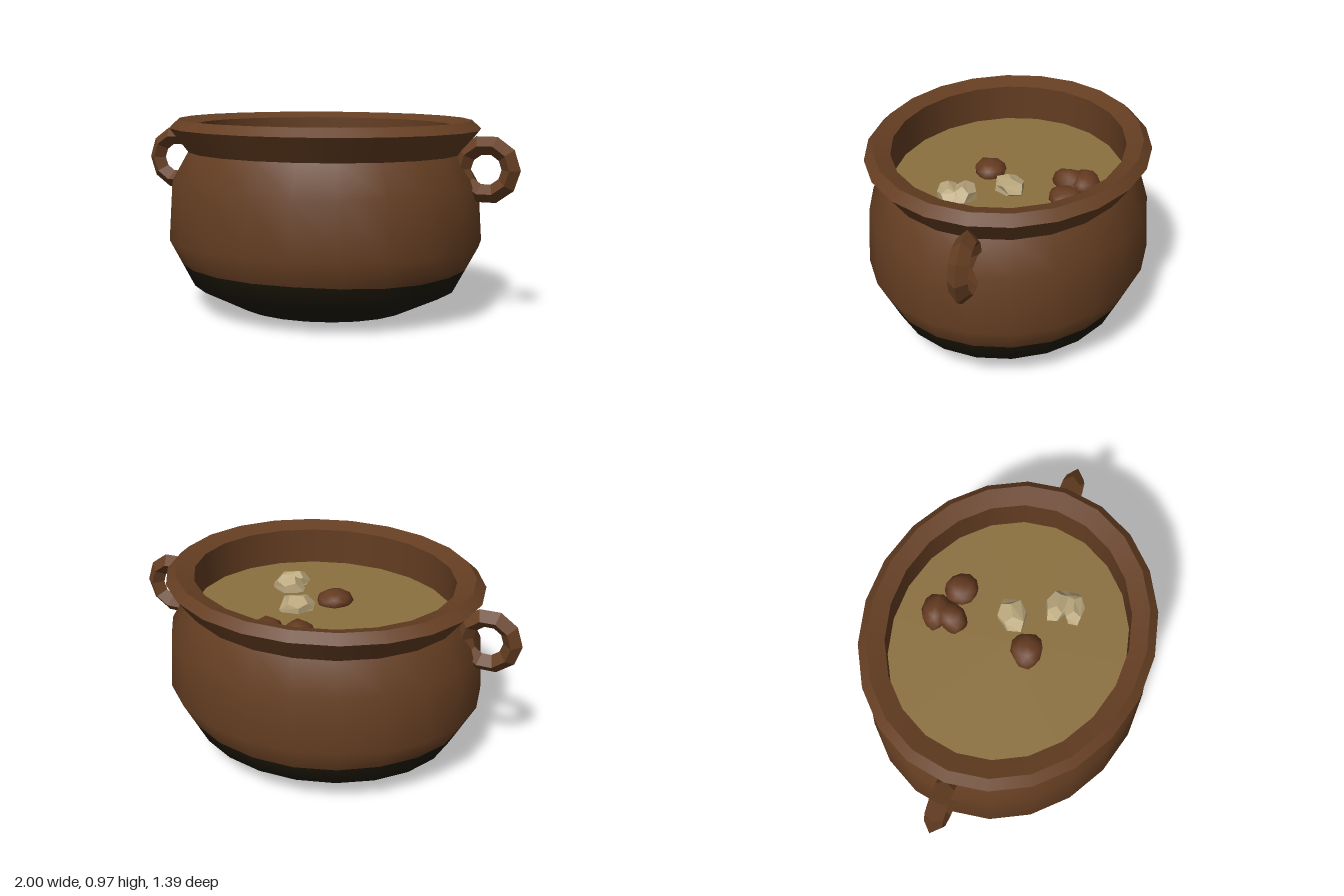
import * as THREE from 'three';
import { mergeVertices } from 'three/addons/utils/BufferGeometryUtils.js';

const SIDES = 22;
const DEPTH = 0.87; // the pot is oval: z radius relative to x radius

const mat = (name, color, extra = {}) => {
  const m = new THREE.MeshStandardMaterial({ color, ...extra });
  m.name = name;
  return m;
};

export function createModel() {
  const clay = mat('brown clay', 0x653e22);
  const clayFlat = mat('brown clay faceted', 0x653e22, { flatShading: true });
  const soot = mat('soot', 0x1f1a0a);
  const broth = mat('broth', 0x8c7140);
  const meat = mat('meat', 0x643a20);
  const potato = mat('potato', 0xb9a67c, { flatShading: true });

  const pot = new THREE.Group();
  pot.name = 'stewPot';
  const add = (name, geometry, material) => {
    const mesh = new THREE.Mesh(geometry, material);
    mesh.name = name;
    pot.add(mesh);
    return mesh;
  };
  const ring = (points) => {
    const profile = points.map(([r, y]) => new THREE.Vector2(r, y));
    return new THREE.LatheGeometry(profile, SIDES, Math.PI / 2).scale(1, 1, DEPTH);
  };

  // Rounded body, blackened below a slightly wavy line
  const bodyProfile = [[0, 0.003], [0.44, 0.022], [0.678, 0.135], [0.737, 0.245],
    [0.805, 0.372], [0.785, 0.66], [0.698, 0.81]];
  const sootRow = 3;
  const body = ring(bodyProfile);
  const pos = body.attributes.position;
  for (let i = 0; i <= SIDES; i++) {
    const k = i * bodyProfile.length + sootRow;
    const a = (i / SIDES) * Math.PI * 2;
    const dy = 0.005 * Math.sin(3 * a + 1) + 0.003 * Math.cos(5 * a);
    const grow = 1 + (dy * 0.53) / 0.737;
    pos.setXYZ(k, pos.getX(k) * grow, pos.getY(k) + dy, pos.getZ(k) * grow);
  }
  const perSide = body.index.count / SIDES;
  for (let i = 0; i < SIDES; i++) {
    body.addGroup(i * perSide, sootRow * 6, 0);
    body.addGroup(i * perSide + sootRow * 6, perSide - sootRow * 6, 1);
  }
  add('body', body, [soot, clay]);

  // Flared rim, one band per crease
  const rim = [[0.698, 0.81], [0.794, 0.93], [0.746, 0.972], [0.652, 0.945], [0.66, 0.73]];
  const bandNames = ['neck', 'rimEdge', 'rimTop', 'innerWall'];
  bandNames.forEach((name, i) => add(name, ring([rim[i], rim[i + 1]]), clay));

  // Broth surface
  add('broth', ring([[0.67, 0.755], [0, 0.755]]), broth);

  // Ring handles with a diamond section
  for (const side of [1, -1]) {
    const handle = add(side > 0 ? 'leftHandle' : 'rightHandle',
      new THREE.TorusGeometry(0.12, 0.046, 4, 10), clayFlat);
    handle.position.set(side * 0.834, 0.748, 0);
    if (side < 0) handle.rotation.y = Math.PI;
  }

  // Lumpy chunks floating in the broth
  const chunk = (name, base, material, [x, z, rx, ry, rz, turn], seed) => {
    base.deleteAttribute('uv');
    base.deleteAttribute('normal');
    const g = mergeVertices(base, 1e-3);
    const p = g.attributes.position;
    const v = new THREE.Vector3();
    for (let i = 0; i < p.count; i++) {
      v.fromBufferAttribute(p, i);
      v.multiplyScalar(1 + 0.09 * Math.sin(v.x * 5 + v.y * 7 + v.z * 4 + seed * 2.3));
      p.setXYZ(i, v.x, v.y, v.z);
    }
    g.scale(rx, ry, rz);
    g.computeVertexNormals();
    const mesh = add(name, g, material);
    mesh.position.set(x, 0.765, z);
    mesh.rotation.y = turn;
  };
  [[0.015, -0.385, 0.095, 0.06, 0.07, 0.2], [0.015, -0.305, 0.09, 0.065, 0.07, 1.0],
    [0.17, -0.315, 0.085, 0.05, 0.08, 2.0], [-0.015, 0.1, 0.09, 0.055, 0.08, 0.4]]
    .forEach((c, i) => chunk('meatChunk', new THREE.IcosahedronGeometry(1, 1), meat, c, i));
  [[0.13, -0.035, 0.092, 0.06, 0.082, 0.5], [0.26, 0.16, 0.092, 0.07, 0.065, 0],
    [0.27, 0.235, 0.09, 0.055, 0.06, 0.3]]
    .forEach((c, i) => chunk('potatoChunk', new THREE.DodecahedronGeometry(1, 0), potato, c, i + 5));

  return pot;
}
